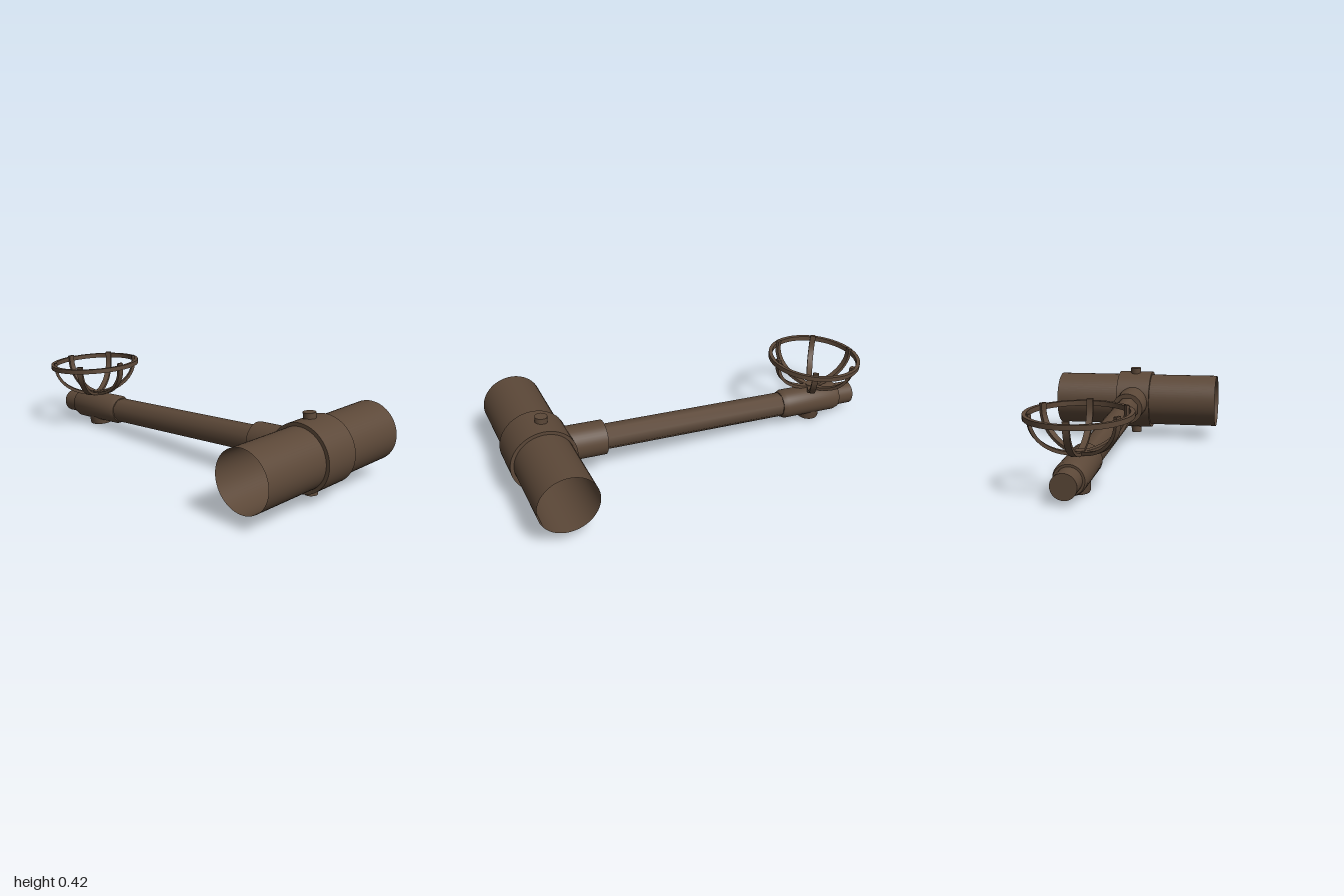
import * as THREE from 'three';
import { toCreasedNormals } from 'three/addons/utils/BufferGeometryUtils.js';

const material = new THREE.MeshStandardMaterial({ color: 0x5c4838 });
const openMaterial = new THREE.MeshStandardMaterial({ color: 0x5c4838, side: THREE.DoubleSide });

function addMesh(parent, name, geometry, mat = material) {
  const mesh = new THREE.Mesh(geometry, mat);
  mesh.name = name;
  parent.add(mesh);
  return mesh;
}

// Turned part around y from [radius, height] pairs, with sharp corners kept
function turned(points, segments = 48) {
  const profile = points.map(([r, y]) => new THREE.Vector2(r, y));
  return toCreasedNormals(new THREE.LatheGeometry(profile, segments), 0.5);
}

// Solid cylinder lying along x from x0 to x1, with a flat facing front and back
function rod(x0, x1, radius, segments = 40) {
  return new THREE.CylinderGeometry(radius, radius, x1 - x0, segments)
    .rotateY(Math.PI / segments)
    .rotateZ(-Math.PI / 2)
    .translate((x0 + x1) / 2, 0, 0);
}

// Curved flat strip from the hub up to the rim, in the xy plane
function spokeGeometry() {
  const rimY = 0.25, steps = 16, outer = [], inner = [];
  for (let i = 0; i <= steps; i++) {
    const a = (i / steps) * Math.PI / 2;
    outer.push(new THREE.Vector2(0.234 * Math.sin(a), rimY - 0.178 * Math.cos(a)));
    inner.push(new THREE.Vector2(0.218 * Math.sin(a), rimY - 0.162 * Math.cos(a)));
  }
  outer.push(new THREE.Vector2(0.234, 0.278));
  inner.push(new THREE.Vector2(0.218, 0.278));
  const shape = new THREE.Shape([...outer, ...inner.reverse()]);
  const geometry = new THREE.ExtrudeGeometry(shape, { depth: 0.03, bevelEnabled: false });
  return toCreasedNormals(geometry.translate(0, 0, -0.015), 0.5);
}

export function createModel() {
  const model = new THREE.Group();
  const zOffset = -0.0125;

  // Open main pipe across the end, with a solid band round its middle
  const mainPipe = addMesh(model, 'mainPipe',
    new THREE.CylinderGeometry(0.1525, 0.1525, 0.96, 64, 1, true).rotateX(Math.PI / 2), openMaterial);
  mainPipe.position.set(0.828, 0.22, 0);
  const band = addMesh(model, 'pipeBand',
    new THREE.CylinderGeometry(0.17, 0.17, 0.198, 64).rotateX(Math.PI / 2));
  band.position.set(0.829, 0.22, zOffset);

  // Everything else follows the gently sloping branch
  const branch = new THREE.Group();
  branch.name = 'branch';
  branch.position.set(0, 0.163, 0);
  branch.rotation.z = Math.atan(0.0823);
  model.add(branch);

  const line = new THREE.Group();
  line.name = 'branchLine';
  line.position.z = zOffset;
  branch.add(line);

  addMesh(line, 'branchPipe', rod(-0.6, 0.6, 0.067, 8));
  addMesh(line, 'branchCollar', rod(0.498, 0.74, 0.089));
  addMesh(line, 'endStub', rod(-0.983, -0.8, 0.061));

  // Valve body with chamfered ends
  addMesh(line, 'valveBody', turned([
    [0, -0.887], [0.072, -0.887], [0.079, -0.865], [0.079, -0.555], [0.068, -0.53], [0, -0.53],
  ]).rotateZ(-Math.PI / 2));

  // Cap under the valve
  const cap = addMesh(line, 'valveCap', turned([
    [0, -0.1], [0.056, -0.1], [0.06, -0.092], [0.06, 0], [0, 0],
  ], 32));
  cap.position.x = -0.732;

  // Bolts above and below the band
  const bolts = addMesh(line, 'bandBolts', new THREE.CylinderGeometry(0.031, 0.031, 0.4, 24));
  bolts.position.set(0.818, -0.014, 0);

  // Bowl-shaped handwheel
  const wheel = new THREE.Group();
  wheel.name = 'handwheel';
  wheel.position.x = -0.728;
  branch.add(wheel);
  addMesh(wheel, 'wheelHub', new THREE.CylinderGeometry(0.026, 0.026, 0.05, 24)).position.y = 0.068;
  addMesh(wheel, 'wheelRim', turned([
    [0.25, 0.243], [0.25, 0.267], [0.23, 0.267], [0.23, 0.243], [0.25, 0.243],
  ], 64));
  const spoke = spokeGeometry();
  for (let i = 0; i < 6; i++) {
    addMesh(wheel, 'wheelSpoke', spoke).rotation.y = (i * Math.PI) / 3;
  }
  return model;
}
